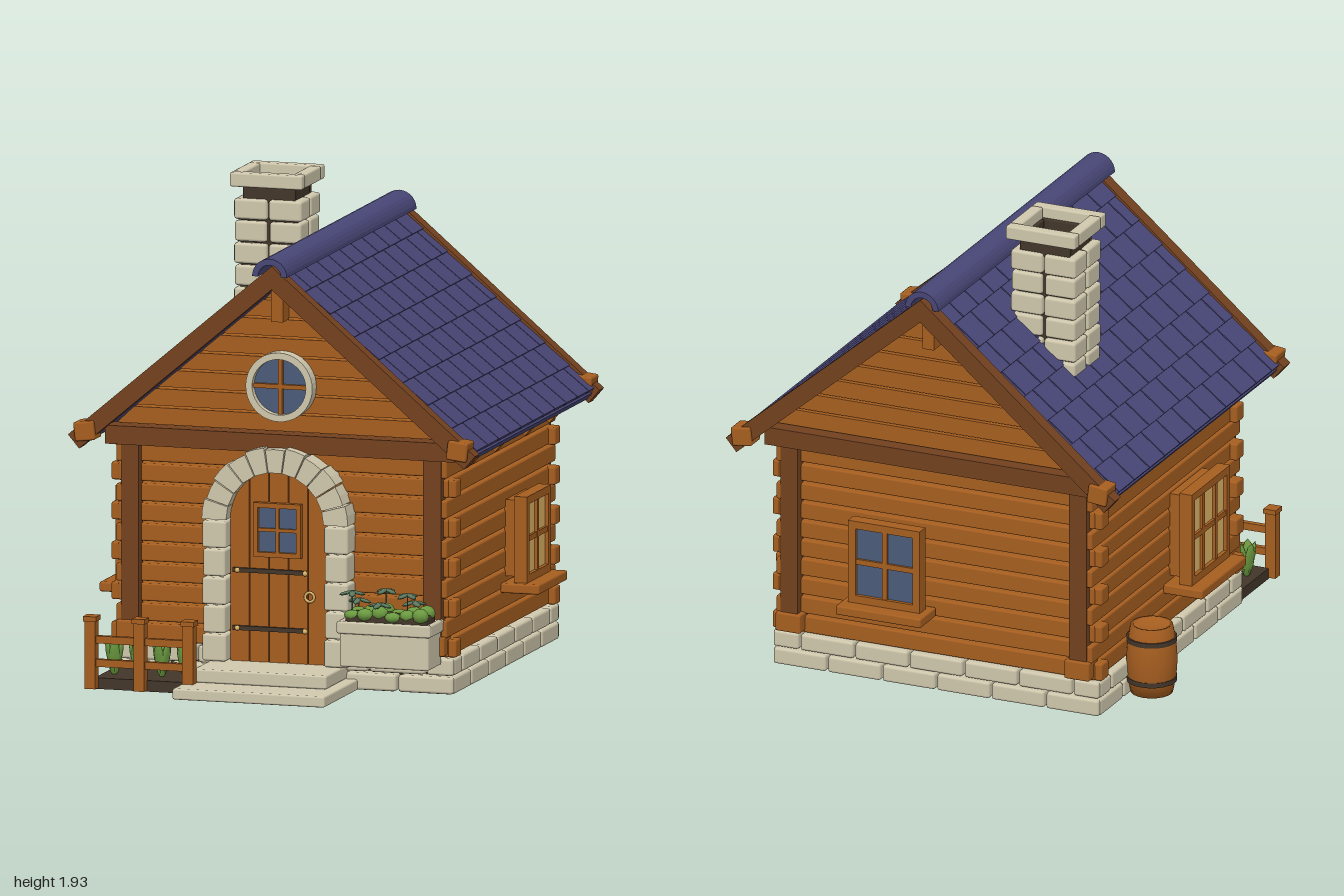
import * as THREE from 'three';
import { RoundedBoxGeometry } from 'three/addons/geometries/RoundedBoxGeometry.js';

const mat = (name, color, side = THREE.FrontSide) => {
  const m = new THREE.MeshStandardMaterial({ color, side });
  m.name = name;
  return m;
};
const M = {
  log: mat('log wood', 0xa65e20), dark: mat('dark timber', 0x73411f),
  tile: mat('roof tile', 0x484676, THREE.DoubleSide), stone: mat('stone', 0xd0c8ad),
  soil: mat('soil and iron', 0x43362a), glass: mat('blue glass', 0x4a5c78),
  glow: mat('warm glass', 0xe0b568), leaf: mat('leaf green', 0x6b9a40),
  herb: mat('dark green', 0x5a785e), floor: mat('floor brown', 0x58301a),
};
const CX = 0.02, CZ = -0.133;           // house centre
const SLOPE = 0.85, ANG = Math.atan(SLOPE);
const FRONT = CZ + 0.69, BACK = CZ - 0.69;

function add(parent, name, geo, material, x = 0, y = 0, z = 0) {
  const m = new THREE.Mesh(geo, material);
  m.name = name;
  m.position.set(x, y, z);
  parent.add(m);
  return m;
}
const box = (w, h, d) => new THREE.BoxGeometry(w, h, d);
const rb = (w, h, d, r = 0.008) => new RoundedBoxGeometry(w, h, d, 1, Math.min(r, w / 3, h / 3, d / 3));
const extrude = (pts, depth) => new THREE.ExtrudeGeometry(
  new THREE.Shape(pts.map(p => new THREE.Vector2(p[0], p[1]))), { depth, bevelEnabled: false });
function group(parent, name, x = 0, y = 0, z = 0, ry = 0) {
  const g = new THREE.Group();
  g.name = name;
  g.position.set(x, y, z);
  g.rotation.y = ry;
  parent.add(g);
  return g;
}

// Row of stones along local x
function stoneRow(parent, len, y, shift, h, d) {
  const n = 6, p = len / n;
  for (let i = 0; i <= n; i++) {
    const a = Math.max(-len / 2, -len / 2 + (i - shift) * p), b = Math.min(len / 2, -len / 2 + (i + 1 - shift) * p);
    if (b - a > 0.02) add(parent, 'foundationStone', rb(b - a - 0.008, h, d, 0.012), M.stone, (a + b) / 2, y, 0);
  }
}

function foundation(g) {
  add(g, 'floor', box(1.3, 0.12, 1.28), M.floor, CX, 0.075, CZ);
  const sides = [[0, 0.65, 0, 1.44], [0, -0.65, Math.PI, 1.44], [0.67, 0, Math.PI / 2, 1.38], [-0.67, 0, -Math.PI / 2, 1.38]];
  for (const [x, z, ry, len] of sides) {
    const s = group(g, 'foundationSide', CX + x, 0, CZ + z, ry);
    stoneRow(s, len, 0.037, 0, 0.07, 0.1);
    stoneRow(s, len, 0.112, 0.5, 0.07, 0.1);
  }
}

function walls(g) {
  // Interlocking logs with open joints
  for (let i = 0; i < 10; i++) {
    const y = 0.187 + i * 0.081, even = i % 2 === 0;
    for (const s of [-1, 1]) {
      add(g, 'endWallLog', rb(even ? 1.45 : 1.38, 0.072, 0.07), M.log, CX, y, CZ + s * 0.65);
      add(g, 'sideWallLog', rb(0.07, 0.072, even ? 1.38 : 1.43), M.log, CX + s * 0.66, y, CZ);
    }
  }
  // Gable logs cut to the roof slope
  const half = y => Math.min(0.7, Math.max(0.004, (1.635 - y) / SLOPE));
  for (let i = 0; i < 8; i++) {
    const y0 = 1.033 + i * 0.077, y1 = Math.min(y0 + 0.068, 1.635), a = half(y0), b = half(y1);
    for (const s of [-1, 1])
      add(g, 'gableLog', extrude([[-a, y0], [a, y0], [b, y1], [-b, y1]], 0.07), M.log, CX, 0, CZ + s * 0.65 - 0.035);
  }
  for (const s of [-1, 1]) {
    add(g, 'tieBeam', box(1.47, 0.075, 0.09), M.dark, CX, 0.99, CZ + s * 0.69);
    add(g, 'kingPost', box(0.05, 0.14, 0.08), M.log, CX, 1.56, CZ + s * 0.73);
    for (const t of [-1, 1]) {
      add(g, 'cornerPost', box(0.075, 0.72, 0.06), M.dark, CX + t * 0.635, 0.6, CZ + s * 0.69);
      add(g, 'cornerSill', rb(0.11, 0.08, 0.09), M.log, CX + t * 0.635, 0.2, CZ + s * 0.69);
    }
  }
}

function chevron(top, d, t) {
  const dx = t * Math.sin(ANG), dy = t * Math.cos(ANG), apex = top - t / Math.cos(ANG), e = top - SLOPE * d;
  return [[0, top], [-d, e], [-d + dx, e - dy], [0, apex], [d - dx, e - dy], [d, e]];
}

function roof(g) {
  add(g, 'roofDeck', extrude(chevron(1.69, 0.825, 0.036), 1.6), M.tile, CX, 0, CZ - 0.8);
  for (const z of [0.65, -0.98])
    add(g, 'bargeBoard', extrude(chevron(1.728, 0.855, 0.072), 0.06), M.dark, CX, 0, z);
  // Overlapping tiles, each row shifted half a tile
  const len = 0.82 / Math.cos(ANG), rows = 8, p = len / rows, w = 0.147, H = 0.785;
  for (const ry of [0, Math.PI]) {
    const side = group(g, 'roofSide', CX, 1.69, CZ, ry);
    const slope = group(side, 'tileSlope');
    slope.rotation.z = -ANG;
    for (let r = 0; r < rows; r++) for (let k = 0; k < 12; k++) {
      const a = Math.max(-H, -H + (k - (r % 2) / 2) * w), b = Math.min(H, -H + (k + 1 - (r % 2) / 2) * w);
      if (b - a < 0.02) continue;
      const t = add(slope, 'roofTile', box(p * 1.1, 0.016, b - a - 0.006), M.tile, (r + 0.45) * p, 0.012, (a + b) / 2);
      t.rotation.z = 0.04;
    }
    // Rafter tails below the eave
    for (const z of [-0.547, -0.227, 0.163, 0.483]) {
      const t = add(side, 'rafterTail', box(0.085, 0.06, 0.045), M.log, 0.715, -0.735, z);
      t.rotation.z = -ANG;
    }
    for (const z of [0.815, -0.815]) {
      const b = add(side, 'purlinEnd', rb(0.085, 0.078, 0.095), M.log, 0.783, -0.67, z);
      b.rotation.z = -0.12;
    }
  }
  // Half-round ridge cap
  const arch = [];
  for (let i = 0; i <= 14; i++) arch.push([0.073 * Math.cos(i * Math.PI / 14), 0.073 * Math.sin(i * Math.PI / 14)]);
  for (let i = 14; i >= 0; i--) arch.push([0.048 * Math.cos(i * Math.PI / 14), 0.048 * Math.sin(i * Math.PI / 14)]);
  add(g, 'ridgeCap', extrude(arch, 1.7), M.tile, CX - 0.003, 1.688, -0.972);
}

function squareRing(g, name, y, outer, t, h, m) {
  for (const s of [-1, 1]) {
    add(g, name, rb(outer, h, t), m, 0, y, s * (outer - t) / 2);
    add(g, name, rb(t, h, outer - 2 * t), m, s * (outer - t) / 2, y, 0);
  }
}

function chimney(g) {
  const c = group(g, 'chimney', -0.312, 0, -0.4);
  // Stone courses around a dark mortar core
  for (let i = 0; i < 7; i++) for (const sx of [-1, 1]) for (const sz of [-1, 1]) {
    const k = i % 2 ? 0.006 : 0;
    add(c, 'chimneyStone', rb(0.14 - k, 0.084, 0.126 - k, 0.012), M.stone, sx * 0.073, 1.235 + i * 0.09, sz * 0.066);
  }
  add(c, 'chimneyCore', box(0.24, 0.62, 0.21), M.soil, 0, 1.5, 0);
  squareRing(c, 'chimneyNeck', 1.84, 0.22, 0.02, 0.08, M.soil);
  add(c, 'flue', box(0.19, 0.02, 0.19), M.soil, 0, 1.82, 0);
  squareRing(c, 'chimneyCap', 1.897, 0.305, 0.05, 0.058, M.stone);
}

// Framed window facing local +z: panes with a casing around the outer edge
function windowUnit(g, name, x, y, z, ry, w, h, cols, rows, glass, d, t = 0.032) {
  const u = group(g, name, x, y, z, ry), c = Math.min(d, 0.055), bar = t * 0.7;
  add(u, 'windowPanes', box(w - t, h - t, 0.02), glass, 0, 0, d - 0.026);
  for (const s of [-1, 1]) {
    add(u, 'windowFrame', box(t, h, c), M.log, s * (w - t) / 2, 0, d - c / 2);
    add(u, 'windowFrame', box(w, t, c), M.log, 0, s * (h - t) / 2, d - c / 2);
  }
  for (let i = 1; i < cols; i++) add(u, 'windowBar', box(bar, h - t, 0.02), M.log, -w / 2 + i * w / cols, 0, d - 0.014);
  for (let i = 1; i < rows; i++) add(u, 'windowBar', box(w - t, bar, 0.02), M.log, 0, -h / 2 + i * h / rows, d - 0.015);
  return u;
}

function wallWindow(g, name, x, y, z, ry, w, h, cols, rows, glass, d) {
  const u = windowUnit(g, name, x, y, z, ry, w, h, cols, rows, glass, d);
  add(u, 'windowReveal', box(w - 0.06, h - 0.04, d - 0.04), M.log, 0, 0, (d - 0.04) / 2);
  add(u, 'windowSill', rb(w + 0.06, 0.04, d + 0.06), M.log, 0, -h / 2 - 0.02, (d + 0.06) / 2);
}

function doorway(g) {
  const d = group(g, 'doorway', CX - 0.006, 0, 0), R = 0.205, RO = 0.307, Y = 0.675;
  for (let i = 0; i < 5; i++) {
    const a = -R + i * 0.082 + 0.002, b = a + 0.078, pts = [[a, 0.1], [b, 0.1]];
    for (let k = 4; k >= 0; k--) {
      const x = a + (b - a) * k / 4;
      pts.push([x, Y + Math.sqrt(Math.max(0, R * R - x * x))]);
    }
    add(d, 'doorPlank', extrude(pts, 0.03), M.log, 0, 0, FRONT + 0.01);
  }
  // Jamb stones and arch stones
  for (const s of [-1, 1]) for (let i = 0; i < 5; i++)
    add(d, 'jambStone', rb(i % 2 ? 0.094 : 0.102, 0.11, 0.11, 0.01), M.stone, s * 0.256, 0.156 + i * 0.115, 0.595);
  for (let i = 0; i < 11; i++) {
    const pts = [], a0 = (i + 0.03) * Math.PI / 11, a1 = (i + 0.97) * Math.PI / 11, ro = RO - (i % 2) * 0.008;
    for (const [r, a] of [[R, a1], [R, a0], [ro, a0], [ro, (a0 + a1) / 2], [ro, a1]]) pts.push([r * Math.cos(a), Y + r * Math.sin(a)]);
    add(d, 'archStone', extrude(pts, 0.11), M.stone, 0, 0, 0.54);
  }
  for (const y of [0.235, 0.47]) {
    add(d, 'hinge', box(0.31, 0.018, 0.012), M.soil, -0.035, y, FRONT + 0.045);
    for (const x of [-0.17, 0.115]) add(d, 'hingeStud', new THREE.SphereGeometry(0.011, 8, 6), M.glow, x, y, FRONT + 0.054);
  }
  add(d, 'doorRing', new THREE.TorusGeometry(0.019, 0.006, 6, 16), M.glow, 0.133, 0.375, FRONT + 0.05);
  windowUnit(d, 'doorWindow', 0, 0.64, FRONT + 0.035, 0, 0.2, 0.22, 2, 2, M.glass, 0.03, 0.02);
  add(g, 'upperStep', rb(0.56, 0.055, 0.29), M.stone, 0.01, 0.072, 0.69);
  add(g, 'lowerStep', rb(0.64, 0.045, 0.46), M.stone, 0.015, 0.0225, 0.77);
}

function roundWindow(g) {
  const w = group(g, 'roundWindow', CX - 0.002, 1.22, FRONT);
  const disc = new THREE.CylinderGeometry(0.12, 0.12, 0.04, 32).rotateX(Math.PI / 2);
  add(w, 'roundGlass', disc, M.glass);
  const ring = new THREE.Shape().absarc(0, 0, 0.14, 0, Math.PI * 2);
  ring.holes.push(new THREE.Path().absarc(0, 0, 0.113, 0, Math.PI * 2, true));
  add(w, 'roundFrame', new THREE.ExtrudeGeometry(ring, { depth: 0.06, bevelEnabled: false, curveSegments: 20 }), M.stone, 0, 0, -0.01);
  add(w, 'roundBar', box(0.018, 0.23, 0.02), M.log, 0, 0, 0.025);
  add(w, 'roundBar', box(0.23, 0.018, 0.02), M.log, 0, 0, 0.025);
}

function garden(g) {
  // Fenced bed
  add(g, 'bedSoil', box(0.39, 0.045, 0.29), M.soil, -0.482, 0.0225, 0.705);
  for (const x of [-0.685, -0.48, -0.275]) {
    add(g, 'fencePost', box(0.045, 0.28, 0.045), M.log, x, 0.145, 0.868);
    add(g, 'fencePostCap', box(0.055, 0.02, 0.06), M.log, x, 0.29, 0.868);
  }
  for (const y of [0.11, 0.205]) add(g, 'fenceRail', box(0.44, 0.03, 0.024), M.log, -0.48, y, 0.868);
  for (let i = 0; i < 4; i++) for (let k = 0; k < 5; k++) {
    const p = group(g, 'bedPlant', -0.63 + i * 0.1, 0.045, 0.74, k * 1.257 + i);
    const l = add(p, 'bladeLeaf', new THREE.SphereGeometry(1, 7, 5), M.leaf, 0.018, 0.068, 0);
    l.scale.set(0.012, 0.078, 0.024);
    l.rotation.z = -0.22;
  }
  // Stone planter
  const p = group(g, 'stonePlanter', 0.503, 0, 0.66);
  add(p, 'planterBody', rb(0.375, 0.14, 0.17), M.stone, 0, 0.195, 0);
  for (const s of [-1, 1]) {
    add(p, 'planterRim', rb(0.395, 0.05, 0.025), M.stone, 0, 0.285, s * 0.083);
    add(p, 'planterRim', rb(0.025, 0.05, 0.15), M.stone, s * 0.185, 0.285, 0);
  }
  add(p, 'planterSoil', rb(0.345, 0.075, 0.14, 0.02), M.soil, 0, 0.303, 0);
  for (let i = 0; i < 12; i++) {
    const x = -0.145 + (i % 6) * 0.058, z = (i < 6 ? -0.04 : 0.045) + (i % 2) * 0.012;
    const b = add(p, 'planterLeaf', new THREE.SphereGeometry(0.036, 8, 6), M.leaf, x, 0.33 + (i % 3) * 0.006, z);
    b.scale.set(1, 0.6 + (i % 3) * 0.12, 0.8);
    if (i % 2) continue;
    const h = 0.05 + (i % 4) * 0.022;
    add(p, 'herbStem', new THREE.CylinderGeometry(0.003, 0.003, h, 5), M.herb, x, 0.33 + h / 2, z);
    for (let k = 0; k < 4; k++) {
      const a = k * Math.PI / 2 + i;
      const f = add(p, 'herbTop', new THREE.SphereGeometry(0.03, 6, 4), M.herb, x + 0.024 * Math.cos(a), 0.326 + h, z + 0.024 * Math.sin(a));
      f.scale.set(1, 0.25, 0.5);
      f.rotation.set(0, -a, -0.25);
    }
  }
}

function barrel(g) {
  const b = group(g, 'barrel', -0.777, 0.01, -0.495);
  const prof = [[0, 0], [0.085, 0], [0.099, 0.07], [0.104, 0.145], [0.099, 0.22], [0.085, 0.29], [0.075, 0.29], [0.073, 0.275], [0, 0.275]];
  add(b, 'barrelBody', new THREE.LatheGeometry(prof.map(p => new THREE.Vector2(p[0], p[1])), 20), M.log);
  for (const y of [0.06, 0.23]) add(b, 'barrelHoop', new THREE.CylinderGeometry(0.102, 0.102, 0.02, 20), M.soil, 0, y, 0);
}

export function createModel() {
  const g = new THREE.Group();
  g.name = 'logCottage';
  [foundation, walls, roof, chimney, doorway, roundWindow, garden, barrel].forEach(build => build(g));
  wallWindow(g, 'leftSideWindow', 0.71, 0.515, -0.317, Math.PI / 2, 0.315, 0.35, 2, 2, M.glow, 0.105);
  wallWindow(g, 'rightSideWindow', -0.67, 0.525, 0.057, -Math.PI / 2, 0.37, 0.39, 3, 2, M.glow, 0.115);
  wallWindow(g, 'backWindow', 0.21, 0.53, BACK + 0.005, Math.PI, 0.315, 0.35, 2, 2, M.glass, 0.095);
  return g;
}
